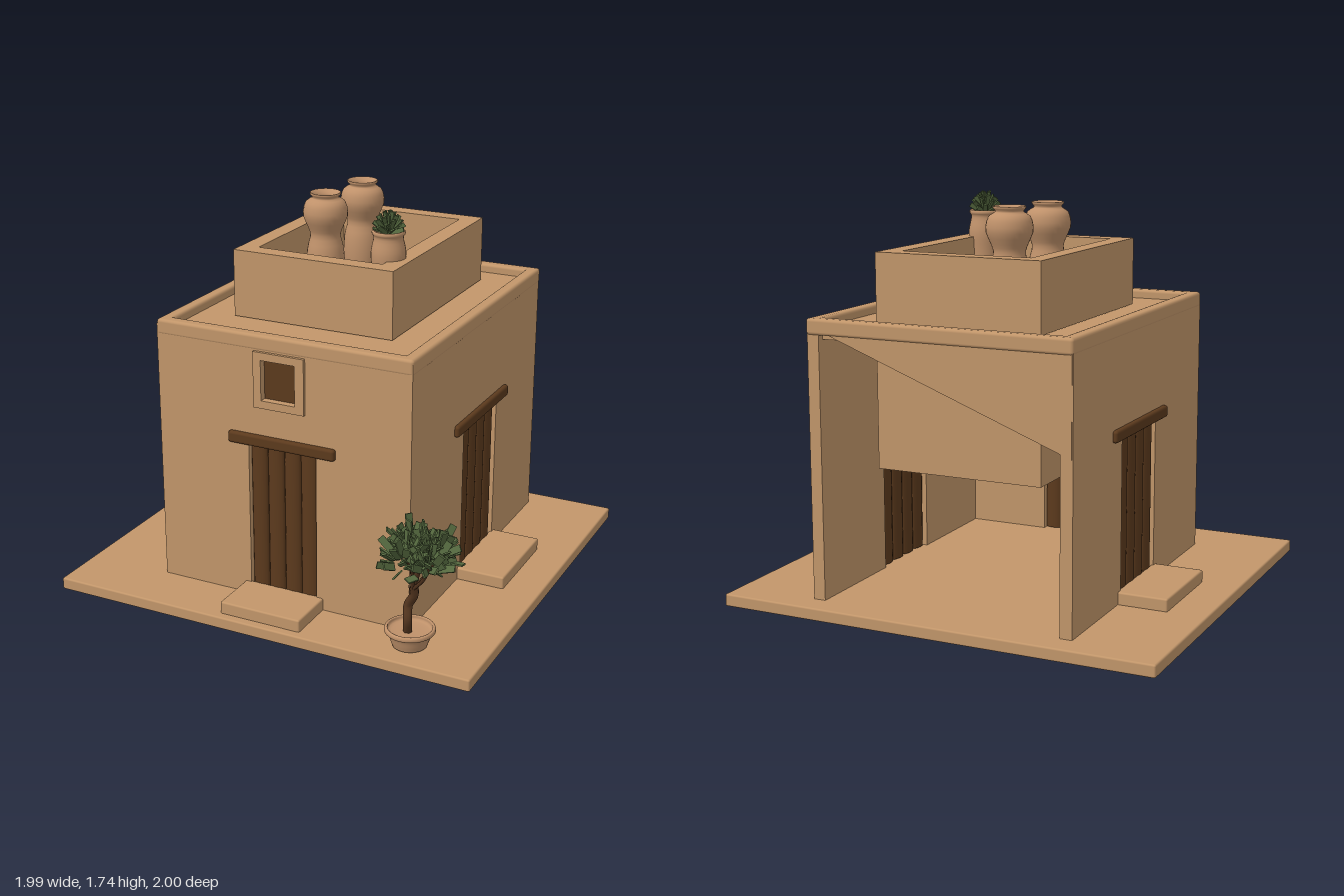
import * as THREE from 'three';
import { mergeGeometries } from 'three/addons/utils/BufferGeometryUtils.js';
import { RoundedBoxGeometry } from 'three/addons/geometries/RoundedBoxGeometry.js';

const V = (x, y, z) => new THREE.Vector3(x, y, z);

export function createModel() {
  const model = new THREE.Group();
  const mat = (name, color, extra = {}) => Object.assign(new THREE.MeshStandardMaterial({ color, ...extra }), { name });
  const clay = mat('clay', 0xc2966a);
  const pottery = mat('pottery', 0xbf916a, { side: THREE.DoubleSide });
  const wood = mat('wood', 0x5c3a1d);
  const bark = mat('bark', 0x563720);
  const leafGreen = mat('leaf green', 0x55693f, { flatShading: true });

  let seed = 7;
  const rand = () => (seed = (seed * 16807) % 2147483647) / 2147483647;

  const add = (name, geometry, material, parent = model) => {
    const mesh = new THREE.Mesh(geometry, material);
    mesh.name = name;
    parent.add(mesh);
    return mesh;
  };
  // box given by its limits, with optional rounded edges
  const block = (name, x0, x1, y0, y1, z0, z1, material = clay, r = 0) => {
    const size = [x1 - x0, y1 - y0, z1 - z0];
    const g = r ? new RoundedBoxGeometry(...size, 2, r) : new THREE.BoxGeometry(...size);
    const mesh = add(name, g, material);
    mesh.position.set((x0 + x1) / 2, (y0 + y1) / 2, (z0 + z1) / 2);
    return mesh;
  };
  // upright panel with rectangular holes [u0, u1, y0, y1]
  const panel = ([u0, u1, y0, y1], holes, depth) => {
    const trace = (p, a, b, c, d) => {
      p.moveTo(a, c); p.lineTo(b, c); p.lineTo(b, d); p.lineTo(a, d); p.closePath();
      return p;
    };
    const shape = trace(new THREE.Shape(), u0, u1, y0, y1);
    holes.forEach(h => shape.holes.push(trace(new THREE.Path(), ...h)));
    return new THREE.ExtrudeGeometry(shape, { depth, bevelEnabled: false });
  };

  // ground slab
  block('groundSlab', -0.995, 0.99, 0, 0.055, -1, 0.83, clay, 0.008);

  // house walls, with door and window openings
  const T = 0.055;
  add('frontWall', panel([-0.6, 0.605, 0.05, 1.25],
    [[-0.157, 0.167, 0.055, 0.78], [-0.085, 0.075, 0.985, 1.165]], T), clay).position.z = 0.57 - T;
  for (const s of [1, -1]) {
    const g = panel([-0.89, 0.52, 0.05, 1.25], [[-0.38, 0.007, 0.055, 0.78]], T);
    g.rotateY(-Math.PI / 2);
    add(s > 0 ? 'leftWall' : 'rightWall', g, clay).position.x = s > 0 ? 0.605 : -0.6 + T;
  }

  // broken back wall: a triangular remnant under the parapet
  const remnant = new THREE.Shape([
    new THREE.Vector2(0.6, 1.24), new THREE.Vector2(-0.595, 1.24), new THREE.Vector2(-0.595, 0.79)]);
  add('backWallRemnant', new THREE.ExtrudeGeometry(remnant, { depth: 0.01, bevelEnabled: false }), clay)
    .position.z = -0.893;

  // parapet rails and roof
  block('parapetFront', -0.602, 0.608, 1.2, 1.27, 0.515, 0.572, clay, 0.014);
  block('parapetBack', -0.602, 0.608, 1.2, 1.27, -0.898, -0.84, clay, 0.014);
  block('parapetLeft', 0.55, 0.608, 1.2, 1.27, -0.898, 0.572, clay, 0.014);
  block('parapetRight', -0.602, -0.545, 1.2, 1.27, -0.898, 0.572, clay, 0.014);
  block('roof', -0.56, 0.56, 1.18, 1.23, -0.86, 0.53);

  // upper storey: open box whose foot hangs inside the house
  const ring = panel([-0.375, 0.385, -0.29, 0.7], [[-0.295, 0.3, -0.21, 0.62]], 0.3);
  ring.rotateX(-Math.PI / 2);
  add('upperWalls', ring, clay).position.y = 1.235;
  block('upperFloor', -0.3, 0.305, 1.22, 1.28, -0.63, 0.22);
  block('upperFoot', -0.375, 0.385, 0.61, 1.19, -0.7, 0.29);

  // doors: round planks, lintel and step, built around u = 0 facing +z
  const door = (name, x, z, turn) => {
    const g = new THREE.Group();
    g.name = name;
    for (let i = 0; i < 4; i++) {
      const plank = add('doorPlank', new THREE.CylinderGeometry(0.04, 0.04, 0.72, 14), wood, g);
      plank.position.set(-0.12 + i * 0.08, 0.42, -0.026);
      plank.scale.z = 0.55;
    }
    add('lintel', new RoundedBoxGeometry(0.51, 0.052, 0.06, 2, 0.012), wood, g).position.set(0, 0.796, -0.009);
    add('doorStep', new RoundedBoxGeometry(0.385, 0.06, 0.235, 2, 0.008), clay, g).position.set(0, 0.08, 0.105);
    g.position.set(x, 0, z);
    g.rotation.y = turn;
    model.add(g);
    return g;
  };
  door('frontDoor', 0.005, 0.57, 0);
  // side doors are a little wider
  door('leftDoor', 0.605, -0.185, Math.PI / 2).scale.x = 1.17;
  door('rightDoor', -0.6, -0.185, -Math.PI / 2).scale.x = 1.17;

  // window frame, inner lip and shutter
  add('windowFrame', panel([-0.122, 0.118, 0.95, 1.2], [[-0.085, 0.075, 0.985, 1.165]], 0.014), clay)
    .position.z = 0.57;
  block('windowShutter', -0.09, 0.08, 0.98, 1.17, 0.54, 0.55, wood);

  // pottery
  const lathe = (name, pts, x, y, z) =>
    add(name, new THREE.LatheGeometry(new THREE.SplineCurve(pts.map(p => new THREE.Vector2(...p))).getPoints(36), 28), pottery)
      .position.set(x, y, z);
  const jar = [[0.001, 0], [0.07, 0.004], [0.086, 0.1], [0.082, 0.19], [0.068, 0.25], [0.08, 0.29], [0.101, 0.345],
    [0.09, 0.4], [0.06, 0.422], [0.07, 0.438], [0.066, 0.446], [0.05, 0.43], [0.046, 0.41], [0.07, 0.36], [0.05, 0.25], [0.001, 0.24]];
  lathe('frontJar', jar, -0.145, 1.276, -0.135);
  lathe('backJar', jar, -0.1, 1.276, -0.42);
  const pot = [[0.001, 0], [0.06, 0.003], [0.066, 0.12], [0.07, 0.2], [0.076, 0.28], [0.064, 0.345], [0.072, 0.365],
    [0.068, 0.378], [0.054, 0.37], [0.05, 0.355], [0.001, 0.352]];
  lathe('roofPot', pot, 0.275, 1.276, 0.1);
  const bowl = [[0.001, 0], [0.065, 0.003], [0.078, 0.02], [0.092, 0.062], [0.107, 0.072], [0.106, 0.088], [0.095, 0.09],
    [0.085, 0.07], [0.001, 0.066]];
  lathe('treeBowl', bowl, 0.66, 0.055, 0.68);

  // one thick leaf from a point along a direction
  const leaf = (from, dir, length, width) => {
    const g = new THREE.BoxGeometry(width, length, 0.007);
    g.translate(0, length / 2, 0);
    g.rotateY(rand() * Math.PI);
    g.applyQuaternion(new THREE.Quaternion().setFromUnitVectors(V(0, 1, 0), dir.clone().normalize()));
    return g.translate(from.x, from.y, from.z);
  };

  // tree: crooked trunk, branches and leaf clusters
  const tube = (pts, r) => new THREE.TubeGeometry(new THREE.CatmullRomCurve3(pts), 16, r, 7);
  const fork = V(0.685, 0.36, 0.715);
  const tree = [tube([V(0.65, 0.12, 0.68), V(0.66, 0.19, 0.705), V(0.655, 0.25, 0.69), V(0.685, 0.31, 0.7), fork], 0.02)];
  const clusters = [V(0.68, 0.54, 0.73), V(0.75, 0.55, 0.8), V(0.82, 0.54, 0.87), V(0.72, 0.54, 0.87), V(0.81, 0.55, 0.77)];
  const leaves = [];
  clusters.forEach((c, k) => {
    const bend = fork.clone().lerp(c, 0.5).add(V(0.01, k % 2 ? 0.015 : -0.015, 0));
    tree.push(tube([fork.clone().add(V(0, -0.02, 0)), bend, c], k < 2 ? 0.012 : 0.008));
    for (let i = 0; i < 34; i++) {
      const a = i * 2.4 + k, up = -0.35 + 1.35 * (i + 0.5) / 34;
      const h = Math.sqrt(1 - up * up);
      const d = V(Math.cos(a) * h, up, Math.sin(a) * h);
      const from = c.clone().addScaledVector(d, 0.02 + rand() * 0.05);
      leaves.push(leaf(from, d.add(V(0, 0.35, 0)), 0.05 + rand() * 0.03, 0.03));
    }
  });
  add('treeTrunk', mergeGeometries(tree), bark);
  add('treeLeaves', mergeGeometries(leaves), leafGreen);

  // succulent in the roof pot, with one long stalk
  const rosette = [];
  for (let i = 0; i < 32; i++) {
    const a = i * 2.4, t = i / 32;
    const d = V(Math.cos(a) * (1.1 - t), 0.45 + t * 0.8, Math.sin(a) * (1.1 - t));
    rosette.push(leaf(V(0.275, 1.635, 0.1), d, 0.075 + t * 0.03, 0.02));
  }
  rosette.push(leaf(V(0.285, 1.665, 0.11), V(0.055, 0.06, 0.165), 0.18, 0.012));
  add('roofPlantLeaves', mergeGeometries(rosette), leafGreen);

  return model;
}
